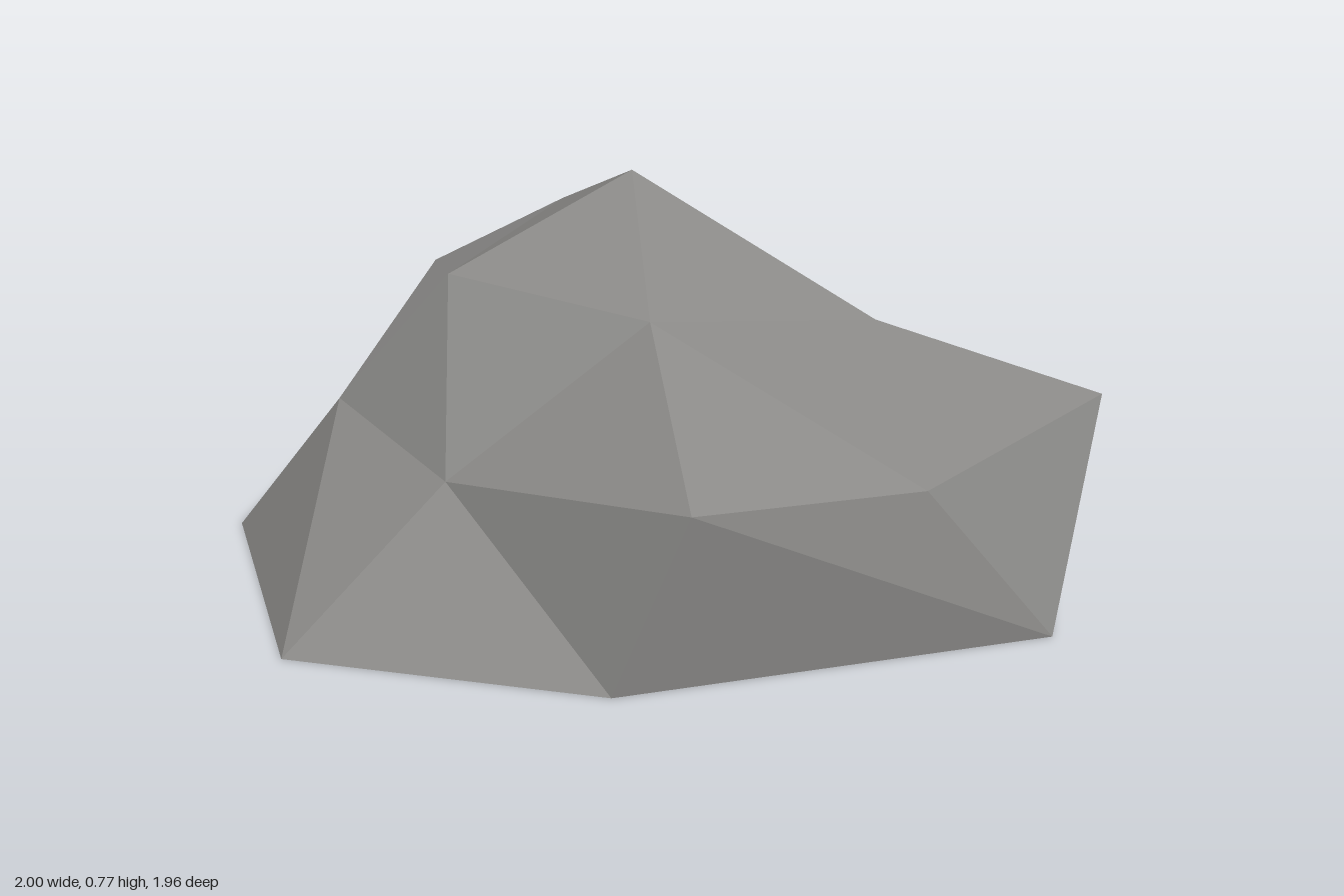
import * as THREE from 'three';

// Corners touching the ground, in order around the base (x, z)
const base = [
  [0.02, -0.98], [0.60, -0.64], [1.00, -0.21], [0.85, 0.37], [0.41, 0.75],
  [-0.07, 0.98], [-0.76, 0.43], [-1.00, -0.17], [-0.60, -0.70],
];

// Raised corners of the boulder (x, y, z)
const corners = {
  P: [-0.02, 0.77, -0.06], // peak
  L: [-0.40, 0.60, -0.25],
  M: [-0.52, 0.32, -0.46],
  N: [-0.665, 0.28, -0.04],
  Q: [-0.345, 0.57, 0.22],
  R: [-0.68, 0.36, 0.55],
  S: [0.14, 0.49, 0.45],
  T: [-0.27, 0.33, 0.80],
  U: [0.395, 0.335, 0.855],
  V: [0.55, 0.25, 0.44],
  W: [0.82, 0.245, 0.04],
  X: [0.30, 0.575, -0.50],
  Y: [0.25, 0.37, -0.87],
};
base.forEach(([x, z], i) => { corners[i] = [x, 0, z]; });

// Facets named by their corners; digits are base corners
const sides = 'Y10 1YX X21 XW2 W32 3WV V43 U4V U54 T5U R5T R65 N6R N76 M7N M87 M08 MY0 MXY';
const top = 'LXM PXL LMN LNQ LQP NRQ QRT QTS STU SUV SVW SWP PWX QSP';

function facets(names) {
  const points = names.flatMap((name) => [...name].flatMap((c) => corners[c]));
  const geometry = new THREE.BufferGeometry();
  geometry.setAttribute('position', new THREE.Float32BufferAttribute(points, 3));
  geometry.computeVertexNormals(); // unshared corners give flat facets
  return geometry;
}

export function createModel() {
  const stone = new THREE.MeshStandardMaterial({ color: 0x8a8987 });
  stone.name = 'grey stone';
  stone.flatShading = true;

  // Flat underside as a fan
  const underside = [];
  for (let i = 1; i < base.length - 1; i++) underside.push(`0${i}${i + 1}`);

  const rock = new THREE.Mesh(
    facets([...sides.split(' '), ...top.split(' '), ...underside]), stone);
  rock.name = 'boulder';

  const group = new THREE.Group();
  group.name = 'rock';
  group.add(rock);
  return group;
}
